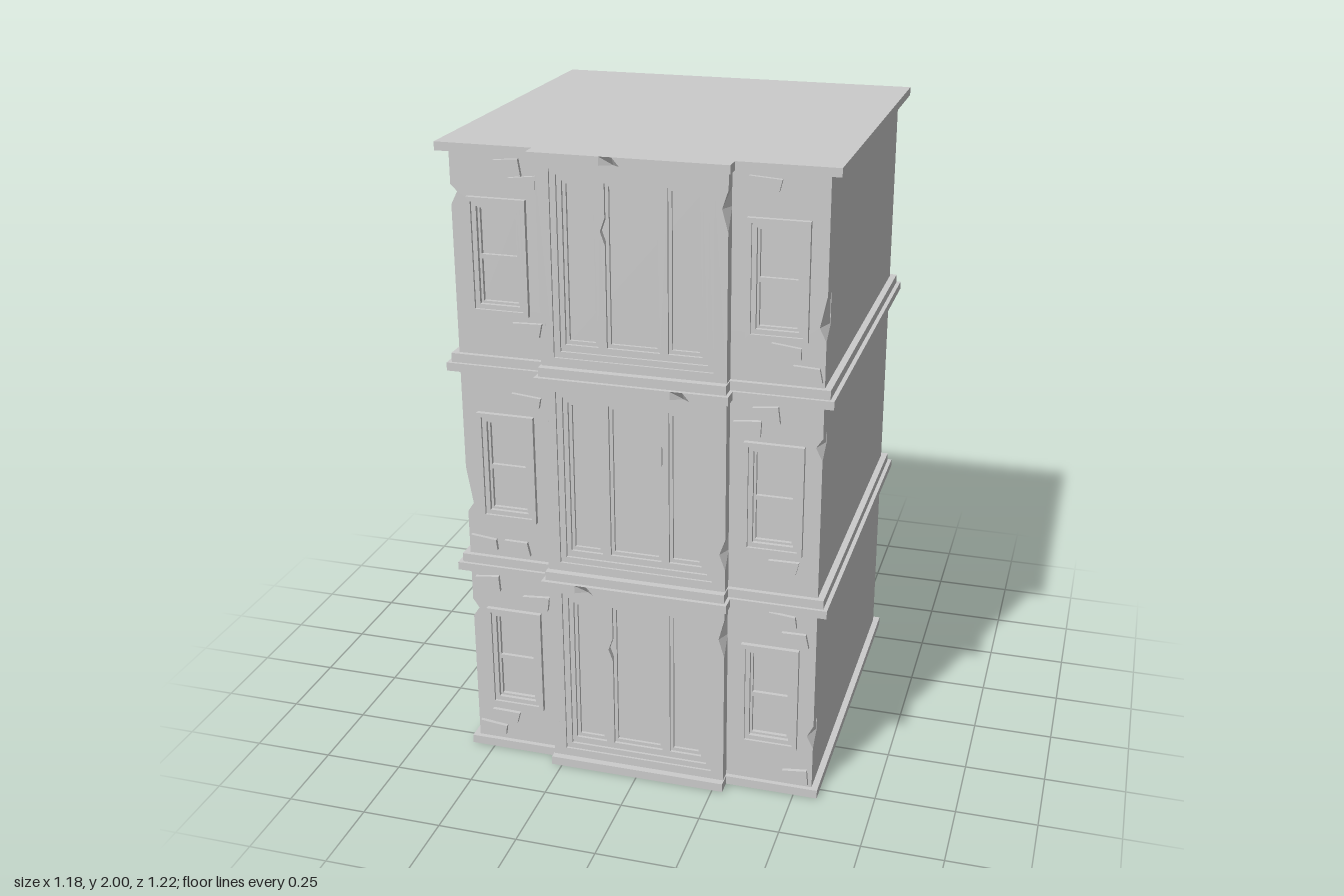
import * as THREE from 'three';

const material = new THREE.MeshStandardMaterial({ color: 0xcccccc, flatShading: true });
const PITCH = 2 / 3, BASE = 0.028, WALL_TOP = 0.641;

// Per storey: chips are [low, apex, high] heights, bricks are [x, y] centres (all from the storey floor)
const STOREYS = [
  {
    wallChips: [[0.47, 0.5, 0.53], [0.17, 0.21, 0.25]], bayChips: [[0.07, 0.15, 0.2], [0.47, 0.53, 0.6]],
    corniceChip: -0.155, nick: [-1, 0.43],
    bricks: [[-0.5, 0.6], [-0.338, 0.55], [-0.455, 0.117], [-0.5, 0.064], [0.45, 0.605], [0.487, 0.546], [0.5, 0.064]],
  },
  {
    wallChips: [[0.17, 0.2, 0.32], [0.47, 0.51, 0.54]], bayChips: [[0.45, 0.52, 0.58], [0.1, 0.15, 0.2]],
    corniceChip: 0.15, nick: [1, 0.44],
    bricks: [[-0.344, 0.558], [-0.503, 0.07], [-0.397, 0.068], [0.386, 0.601], [0.333, 0.553], [0.45, 0.118]],
  },
  {
    wallChips: [[0.48, 0.52, 0.54], [0.165, 0.205, 0.3]], bayChips: [[0.1, 0.155, 0.2], [0.47, 0.535, 0.59]],
    corniceChip: -0.05, nick: [-1, 0.44],
    bricks: [[-0.38, 0.603], [-0.333, 0.556], [-0.333, 0.12], [0.376, 0.603], [0.444, 0.126], [0.503, 0.067]],
  },
];

const points = (list) => list.map(([x, y]) => new THREE.Vector2(x, y));
const rect = (x0, x1, y0, y1) => [[x0, y0], [x1, y0], [x1, y1], [x0, y1]];

function slab(outline, holes, depth) {
  const shape = new THREE.Shape(points(outline));
  holes.forEach((h) => shape.holes.push(new THREE.Path(points(h))));
  return new THREE.ExtrudeGeometry(shape, { depth, bevelEnabled: false });
}

function add(parent, name, geometry, z = 0, y = 0) {
  const mesh = new THREE.Mesh(geometry, material);
  mesh.name = name;
  mesh.position.set(0, y, z);
  parent.add(mesh);
  return mesh;
}

// Flat plate standing in the xy plane, from z0 to z1
const plate = (parent, name, outline, holes, z0, z1) => add(parent, name, slab(outline, holes, z1 - z0), z0);

// Wall slab whose two side edges carry chips that fade out towards the back
function chippedWall(half, chips, holes, depth, bite) {
  const [l, r] = chips;
  const outline = [
    [-half, BASE], [half, BASE],
    [half, r[0]], [half - bite, r[1]], [half, r[2]],
    [half, WALL_TOP], [-half, WALL_TOP],
    [-half, l[2]], [-half + bite, l[1]], [-half, l[0]],
  ];
  const g = slab(outline, holes, depth), p = g.attributes.position;
  for (let i = 0; i < p.count; i++) {
    if (p.getZ(i) < 1e-4 && Math.abs(Math.abs(p.getX(i)) - half + bite) < 1e-4) {
      p.setX(i, Math.sign(p.getX(i)) * half);
    }
  }
  g.computeVertexNormals();
  return g;
}

// Horizontal ledge that steps out around the bay; an optional chip bites its lower front edge
function ledge(half, back, front, bayHalf, bayFront, height, chip) {
  const notch = bayFront - 0.018;
  const bite = chip === undefined ? [] : [[chip - 0.03, -bayFront], [chip + 0.008, -notch], [chip + 0.03, -bayFront]];
  const g = slab([
    [-half, -back], [-half, -front], [-bayHalf, -front], [-bayHalf, -bayFront], ...bite,
    [bayHalf, -bayFront], [bayHalf, -front], [half, -front], [half, -back],
  ], [], height);
  const p = g.attributes.position;
  for (let i = 0; i < p.count; i++) {
    if (p.getZ(i) > height / 2 && Math.abs(p.getY(i) + notch) < 1e-4) p.setY(i, -bayFront);
  }
  g.computeVertexNormals();
  return g.rotateX(-Math.PI / 2);
}

// Sash window with raised stepped trim
function buildWindow(x) {
  const g = new THREE.Group();
  g.name = 'sideWindow';
  const box = (w, y0, y1) => rect(x - w, x + w, y0, y1);
  plate(g, 'windowTrim', box(0.09, 0.16, 0.51), [box(0.076, 0.174, 0.496)], 0.53, 0.55);
  plate(g, 'windowInnerTrim', box(0.076, 0.174, 0.496), [box(0.062, 0.188, 0.482)], 0.52, 0.542);
  plate(g, 'windowSash', box(0.062, 0.188, 0.482),
    [box(0.055, 0.195, 0.323), box(0.055, 0.337, 0.475)], 0.505, 0.53);
  plate(g, 'windowPanes', box(0.062, 0.188, 0.482), [], 0.5, 0.518);
  return g;
}

// Large three-light opening of the central bay
function buildBay(storey) {
  const g = new THREE.Group();
  g.name = 'bay';
  const opening = rect(-0.24, 0.24, 0.055, 0.615);
  add(g, 'bayWall', chippedWall(0.28, storey.bayChips, [opening], 0.042, 0.018), 0.533);
  const inner = rect(-0.222, 0.222, 0.073, 0.597);
  plate(g, 'bayTrim', opening, [inner], 0.533, 0.568);

  const lights = [[-0.208, -0.108], [-0.082, 0.078], [0.102, 0.204]];
  const [side, ny] = storey.nick;
  const holes = lights.map(([a, b], i) => {
    const h = rect(a, b, 0.093, 0.58);
    // small splinter out of one mullion
    if (i === 1 && side > 0) h.splice(2, 0, [b, ny - 0.04], [b + 0.014, ny], [b, ny + 0.04]);
    if (i === 1 && side < 0) h.push([a, ny + 0.04], [a - 0.014, ny], [a, ny - 0.04]);
    return h;
  });
  plate(g, 'mullions', inner, holes, 0.533, 0.56);
  lights.forEach(([a, b]) => {
    plate(g, 'lightFrame', rect(a, b, 0.093, 0.58), [rect(a + 0.01, b - 0.01, 0.104, 0.569)], 0.533, 0.551);
  });
  plate(g, 'bayPanes', inner, [], 0.53, 0.542);
  return g;
}

// Exposed brick with slightly uneven corners
function brick(x, y, seed) {
  const wob = (k) => 0.005 * Math.sin(seed * 7.3 + k * 2.9);
  const corners = rect(x - 0.042, x + 0.042, y - 0.021, y + 0.021)
    .map(([cx, cy], k) => [cx + wob(k), cy + wob(k + 5)]);
  return slab(corners, [], 0.016);
}

function buildStorey(storey, index) {
  const g = new THREE.Group();
  g.name = 'storey' + (index + 1);
  const core = new THREE.BoxGeometry(1.11, PITCH - 0.01, 1.06);
  add(g, 'core', core, -0.045, PITCH / 2);

  const holes = [-1, 1].map((s) => rect(s * 0.415 - 0.076, s * 0.415 + 0.076, 0.174, 0.496));
  add(g, 'frontWall', chippedWall(0.555, storey.wallChips, holes, 0.055, 0.02), 0.48);
  [-1, 1].forEach((s) => g.add(buildWindow(s * 0.415)));
  g.add(buildBay(storey));
  storey.bricks.forEach(([x, y], i) => add(g, 'brick', brick(x, y, index * 9 + i), 0.531));

  add(g, 'baseLedge', ledge(0.575, -0.597, 0.55, 0.283, 0.597, BASE));
  add(g, 'cornice', ledge(0.588, -0.61, 0.56, 0.293, 0.61, PITCH - WALL_TOP, storey.corniceChip), 0, WALL_TOP);
  g.position.y = index * PITCH;
  return g;
}

export function createModel() {
  const model = new THREE.Group();
  model.name = 'building';
  STOREYS.forEach((s, i) => model.add(buildStorey(s, i)));
  return model;
}
